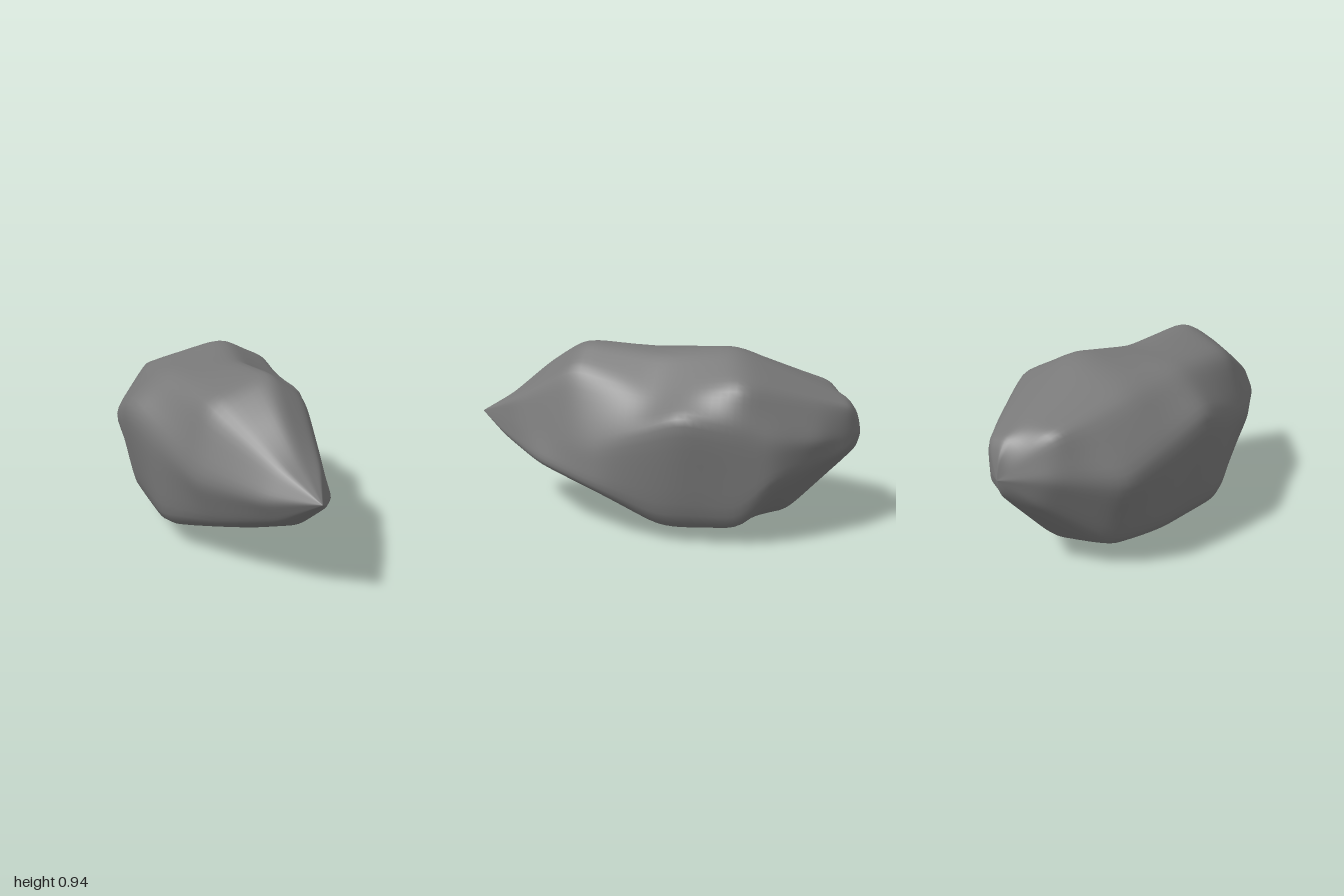
import * as THREE from 'three';

// Crease lines running from the back end to the front tip, as [z, x, y],
// ordered clockwise around the boulder when seen from the front.
const back = [-1, 0.02, 0.52], tip = [1, 0, 0.53];
const topRidge = [[-0.985, 0.02, 0.62], [-0.93, 0.02, 0.7], [-0.38, 0.12, 0.96], [-0.05, 0.06, 0.92], [0.4, 0.03, 0.96], [0.6, 0, 0.83], [0.82, 0, 0.64]];
const leftShelf = [[-0.95, 0.12, 0.67], [-0.45, 0.41, 0.82], [0, 0.3, 0.73], [0.42, 0.21, 0.83], [0.8, 0.1, 0.62]];
const leftFlank = [[-0.97, 0.09, 0.53], [-0.8, 0.31, 0.54], [-0.6, 0.435, 0.56], [-0.17, 0.525, 0.67], [0.3, 0.38, 0.46], [0.75, 0.16, 0.5]];
const leftFoot = [[-0.92, 0.16, 0.45], [-0.6, 0.42, 0.34], [-0.45, 0.41, 0.1], [-0.05, 0.42, 0.09], [0.25, 0.43, 0.25], [0.6, 0.29, 0.34], [0.85, 0.11, 0.44]];
const keel = [[-0.985, 0.02, 0.44], [-0.65, 0.05, 0.07], [-0.12, 0.05, -0.02], [0.4, 0, 0.16], [0.8, 0, 0.35]];
const rightFoot = [[-0.9, -0.12, 0.4], [-0.6, -0.31, 0.12], [-0.36, -0.41, 0.13], [0.1, -0.42, 0.12], [0.5, -0.25, 0.26], [0.8, -0.11, 0.38]];
const rightFlank = [[-0.9, -0.2, 0.54], [-0.65, -0.45, 0.5], [-0.15, -0.525, 0.7], [0.45, -0.37, 0.49], [0.8, -0.18, 0.49]];
const rightShoulder = [[-0.85, -0.19, 0.74], [-0.45, -0.29, 0.84], [-0.1, -0.3, 0.88], [0.38, -0.27, 0.83], [0.8, -0.1, 0.63]];

const creases = [topRidge, leftShelf, leftFlank, leftFoot, keel, rightFoot, rightFlank, rightShoulder]
  .map((points) => [back, ...points, tip]);

const RINGS = 80, STEPS = 8, AROUND = creases.length * STEPS;
const ringZ = (i) => -Math.cos((Math.PI * i) / RINGS);

// Point of a crease line at a given z
function pointAt(line, z) {
  let k = 1;
  while (k < line.length - 1 && line[k][0] < z) k++;
  const [a, b] = [line[k - 1], line[k]];
  const t = (z - a[0]) / (b[0] - a[0]);
  return new THREE.Vector2(a[1], a[2]).lerp(new THREE.Vector2(b[1], b[2]), t);
}

// Flat facets between neighbouring creases
function facetRing(z) {
  const corners = creases.map((line) => pointAt(line, z));
  return Array.from({ length: AROUND }, (_, j) => {
    const k = Math.floor(j / STEPS);
    return corners[k].clone().lerp(corners[(k + 1) % corners.length], (j % STEPS) / STEPS);
  });
}

// Weather the creases by averaging each point with its neighbours
function weather(rings) {
  return rings.map((ring, i) => ring.map((p, j) => {
    if (i === 0 || i === RINGS) return p;
    return new THREE.Vector2()
      .add(rings[i - 1][j]).add(rings[i + 1][j])
      .add(ring[(j + 1) % AROUND]).add(ring[(j + AROUND - 1) % AROUND])
      .multiplyScalar(0.25)
      .lerp(p, 0.4);
  }));
}

function boulderGeometry() {
  let rings = Array.from({ length: RINGS + 1 }, (_, i) => facetRing(ringZ(i)));
  for (let n = 0; n < 5; n++) rings = weather(rings);

  const positions = [], indices = [];
  rings.forEach((ring, i) => ring.forEach((p, j) => {
    positions.push(p.x, p.y, ringZ(i));
    if (i === RINGS) return;
    const a = i * AROUND + j, b = i * AROUND + ((j + 1) % AROUND);
    const c = a + AROUND, d = b + AROUND;
    // the end rings close to a point, so they need one triangle per step
    if (i > 0) indices.push(a, c, b);
    if (i < RINGS - 1) indices.push(b, c, d);
  }));
  const geometry = new THREE.BufferGeometry();
  geometry.setAttribute('position', new THREE.Float32BufferAttribute(positions, 3));
  geometry.setIndex(indices);
  geometry.computeVertexNormals();
  return geometry;
}

export function createModel() {
  const group = new THREE.Group();
  group.name = 'rock';
  const boulder = new THREE.Mesh(boulderGeometry(), new THREE.MeshStandardMaterial({ color: 0x787878 }));
  boulder.name = 'boulder';
  group.add(boulder);
  return group;
}
